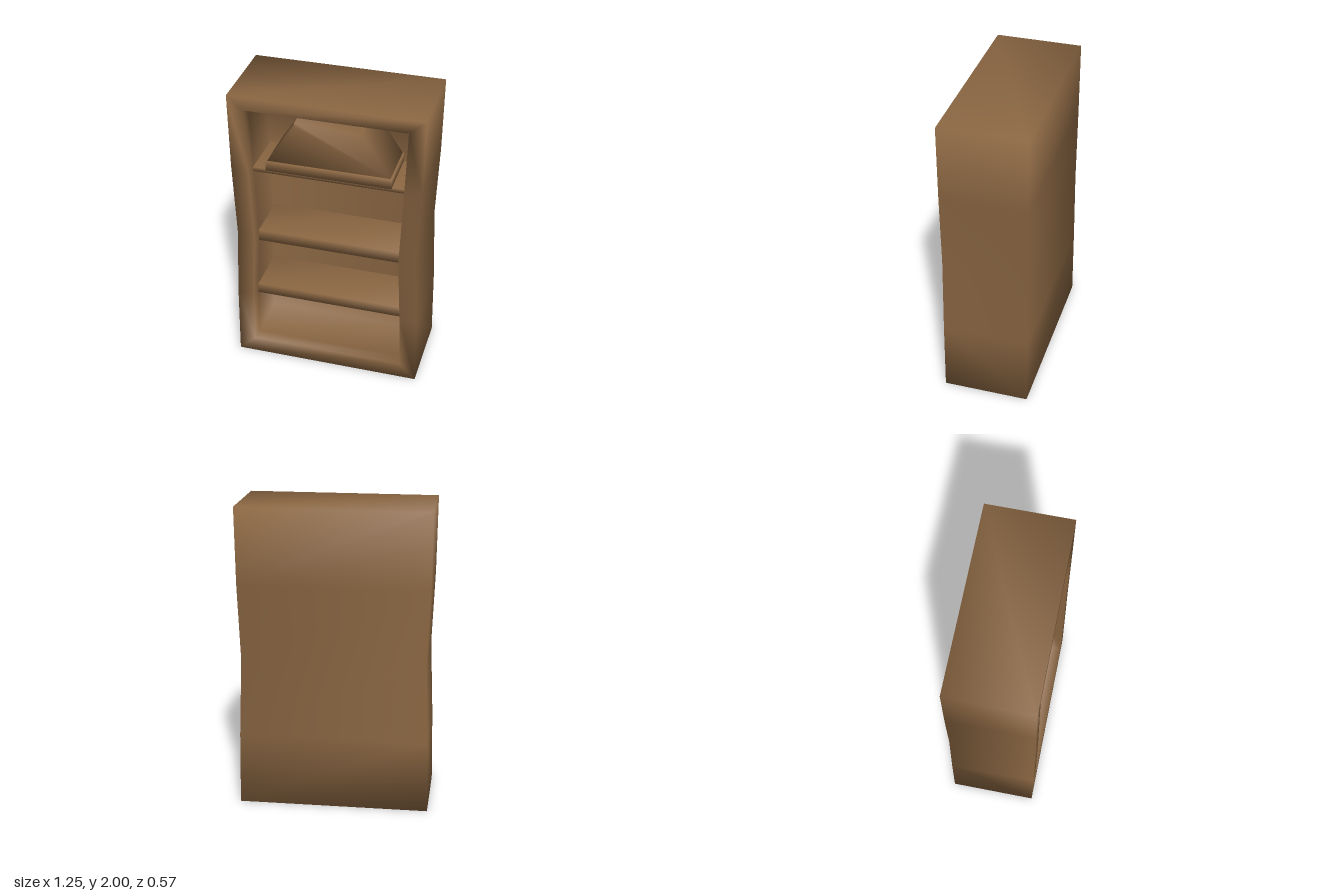
import * as THREE from 'three';
import { mergeVertices } from 'three/addons/utils/BufferGeometryUtils.js';

const FRONT = 0.283, RECESS = -0.12;
const wood = new THREE.MeshStandardMaterial({ color: 0x8a6642 });

// Weld corners so the shading rolls softly over the edges
function soften(geometry) {
  geometry.deleteAttribute('normal');
  geometry.deleteAttribute('uv');
  const welded = mergeVertices(geometry, 1e-4);
  welded.computeVertexNormals();
  return welded;
}

function part(name, geometry) {
  const mesh = new THREE.Mesh(soften(geometry), wood);
  mesh.name = name;
  return mesh;
}

// Outlines as [half width, height], pinched at the waist
const OUTER = [[0.625, 0], [0.618, 0.48], [0.598, 1], [0.618, 1.5], [0.625, 2]];
const INNER = [[0.515, 0.11], [0.505, 0.5], [0.483, 0.95], [0.503, 1.45], [0.52, 1.91]];

// Anticlockwise loop: up the +x side and down the -x side
function loop(outline, z, inset = 0) {
  const right = outline.map(([w, y]) => [w - inset, y, z]);
  const left = outline.map(([w, y]) => [inset - w, y, z]).reverse();
  return [...right, ...left];
}

// Hollow case: skin the loops from the back, round the rim, into the recess
function caseGeometry() {
  const loops = [
    loop(OUTER, -FRONT), loop(OUTER, FRONT), loop(INNER, FRONT),
    loop(INNER, 0.2, 0.006), loop(INNER, RECESS, 0.012),
  ];
  const n = loops[0].length, index = [];
  for (let r = 0; r < loops.length - 1; r++) {
    for (let i = 0; i < n; i++) {
      const j = (i + 1) % n, a = r * n, b = a + n;
      index.push(a + i, a + j, b + j, a + i, b + j, b + i);
    }
  }
  // Back panel outside and back wall inside
  const last = (loops.length - 1) * n;
  for (let k = 0; k < n / 2 - 1; k++) {
    const r0 = k, r1 = k + 1, l0 = n - 1 - k, l1 = n - 2 - k;
    index.push(r0, l1, r1, r0, l0, l1);
    index.push(last + r0, last + r1, last + l1, last + r0, last + l1, last + l0);
  }
  const geometry = new THREE.BufferGeometry();
  geometry.setAttribute('position', new THREE.Float32BufferAttribute(loops.flat(2), 3));
  geometry.setIndex(index);
  return geometry;
}

// Box between two heights, from the back wall to a given front
function slab(name, halfWidth, y0, y1, front) {
  const depth = front - RECESS + 0.01;
  const mesh = part(name, new THREE.BoxGeometry(halfWidth * 2, y1 - y0, depth, 2, 1, 1));
  mesh.position.set(0, (y0 + y1) / 2, front - depth / 2);
  return mesh;
}

export function createModel() {
  const group = new THREE.Group();
  group.name = 'bookcase';
  group.add(part('case', caseGeometry()));

  // Shelves
  group.add(slab('lowerShelf', 0.51, 0.46, 0.535, 0.21));
  group.add(slab('middleShelf', 0.488, 0.9, 0.98, 0.21));
  group.add(slab('upperShelf', 0.51, 1.435, 1.465, 0.21));

  // Tapered hood standing on a lip above the upper shelf
  group.add(slab('hoodLip', 0.41, 1.46, 1.527, 0.22));
  const outline = new THREE.Shape([
    [-0.405, 1.52], [0.405, 1.52], [0.217, 1.805], [0.217, 1.83], [-0.217, 1.83], [-0.217, 1.805],
  ].map(([x, y]) => new THREE.Vector2(x, y)));
  const hood = part('hood', new THREE.ExtrudeGeometry(outline, { depth: 0.21 - RECESS, bevelEnabled: false }));
  hood.position.z = RECESS;
  group.add(hood);
  return group;
}
